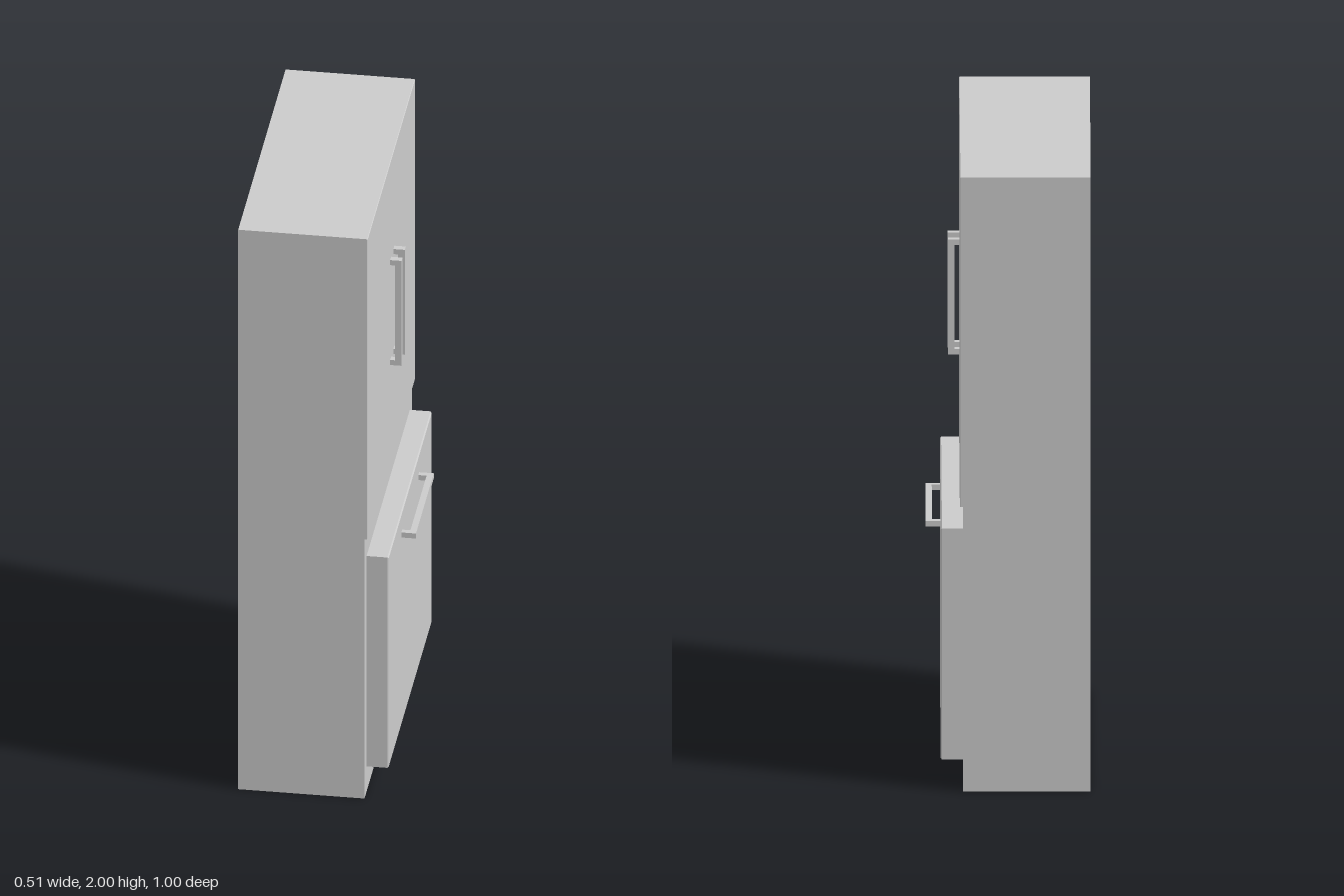
import * as THREE from 'three';

const material = new THREE.MeshStandardMaterial({ color: 0xcccccc });

// Box given by its min and max corners
function box(name, [x0, y0, z0], [x1, y1, z1]) {
  const mesh = new THREE.Mesh(new THREE.BoxGeometry(x1 - x0, y1 - y0, z1 - z0), material);
  mesh.position.set((x0 + x1) / 2, (y0 + y1) / 2, (z0 + z1) / 2);
  mesh.name = name;
  return mesh;
}

// Panel facing +x with a fine bevel around its front; its back sinks into the cabinet
function panel(name, xBack, xFront, y0, y1, halfWidth, bevel) {
  const w = halfWidth - bevel;
  const shape = new THREE.Shape([
    new THREE.Vector2(-w, y0 + bevel), new THREE.Vector2(w, y0 + bevel),
    new THREE.Vector2(w, y1 - bevel), new THREE.Vector2(-w, y1 - bevel),
  ]);
  const geometry = new THREE.ExtrudeGeometry(shape, {
    depth: xFront - xBack - 2 * bevel,
    bevelEnabled: true, bevelSize: bevel, bevelThickness: bevel, bevelSegments: 1,
  });
  geometry.translate(0, 0, xBack + bevel).rotateY(Math.PI / 2);
  const mesh = new THREE.Mesh(geometry, material);
  mesh.name = name;
  return mesh;
}

// Upright bar handle on two posts, centred on its own origin, standing out along +x
function handle(name, length, thickness, reach, bar) {
  const group = new THREE.Group();
  group.name = name;
  const h = length / 2, t = thickness / 2;
  group.add(box('handleBar', [reach - bar, -h, -t], [reach, h, t]));
  for (const side of [-1, 1]) {
    const post = box('handlePost', [-0.005, -0.009, -t], [reach - bar, 0.009, t]);
    post.position.y = side * (h - 0.009);
    group.add(post);
  }
  return group;
}

export function createModel() {
  const model = new THREE.Group();
  model.name = 'refrigerator';

  // Cabinet, upper door front and freezer drawer
  model.add(box('cabinet', [-0.255, 0, -0.5], [0.14, 2, 0.5]));
  model.add(panel('upperDoors', 0.13, 0.15, 0.927, 2, 0.5, 0.002));
  model.add(panel('freezerDrawer', 0.12, 0.209, 0.09, 0.842, 0.456, 0.004));

  // Pair of upright door handles
  for (const z of [0.016, -0.053]) {
    const doorHandle = handle('doorHandle', 0.375, 0.021, 0.036, 0.021);
    doorHandle.position.set(0.15, 1.467, z);
    model.add(doorHandle);
  }

  // Level drawer handle
  const drawerHandle = handle('drawerHandle', 0.376, 0.018, 0.046, 0.02);
  drawerHandle.rotation.x = Math.PI / 2;
  drawerHandle.position.set(0.209, 0.77, 0.001);
  model.add(drawerHandle);

  return model;
}
